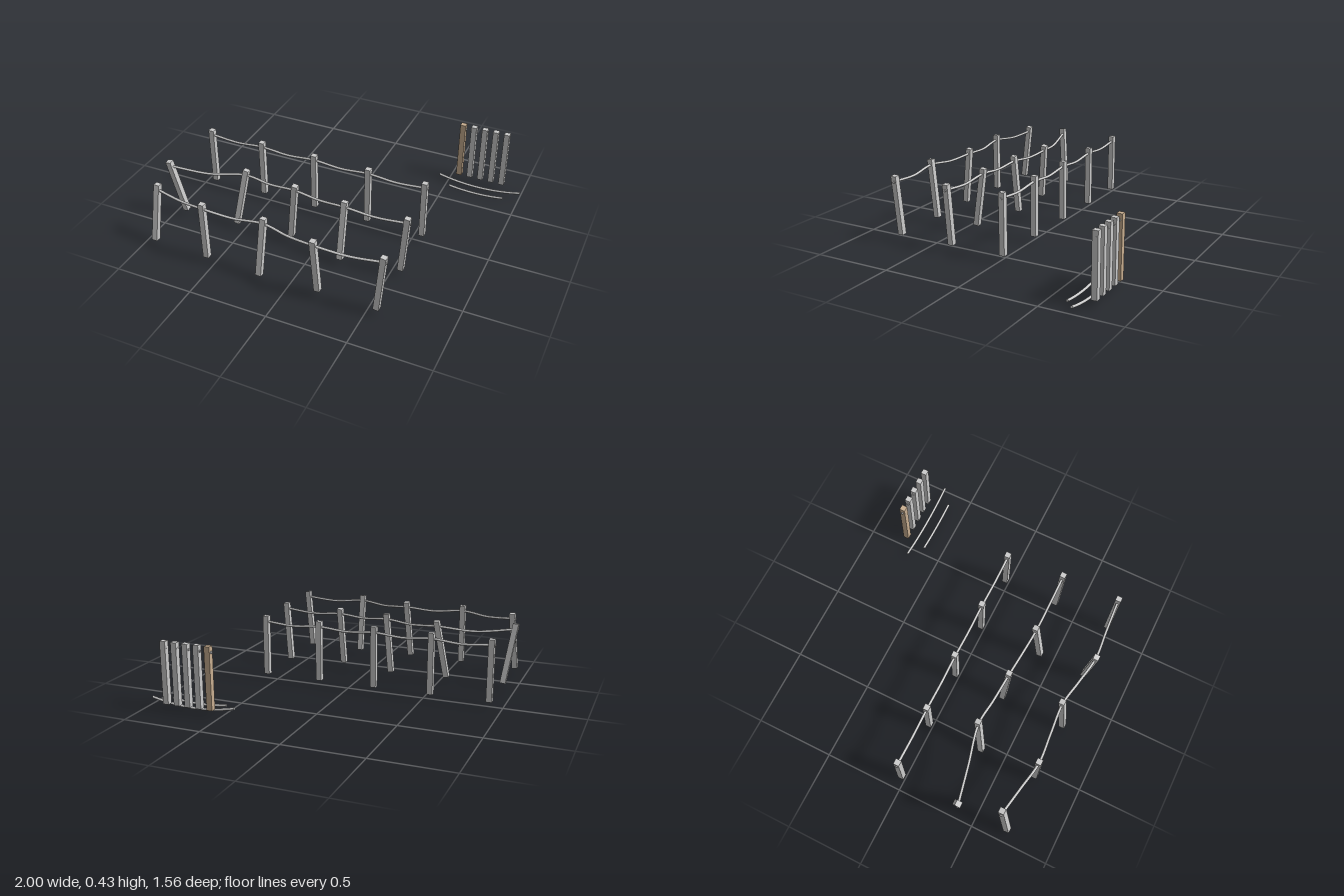
import * as THREE from 'three';

const POST = 0.036, LENGTH = 0.39, BASE = 0.04, ROPE = 0.008;
const grey = new THREE.MeshStandardMaterial({ color: 0xcccccc });
const brown = new THREE.MeshStandardMaterial({ color: 0xc8ae90 });
const UP = new THREE.Vector3(0, 1, 0);

function add(parent, geometry, name, material = grey) {
  const mesh = new THREE.Mesh(geometry, material);
  mesh.name = name;
  parent.add(mesh);
  return mesh;
}

// Square post leaning from its foot [x, z] to its top [x, z]; returns the rope hole point
function addPost(parent, foot, top, material) {
  const dx = top[0] - foot[0], dz = top[1] - foot[1];
  const dir = new THREE.Vector3(dx, Math.sqrt(LENGTH ** 2 - dx * dx - dz * dz), dz).normalize();
  const start = new THREE.Vector3(foot[0], BASE, foot[1]);
  const post = add(parent, new THREE.BoxGeometry(POST, LENGTH, POST), 'post', material);
  post.position.copy(start).addScaledVector(dir, LENGTH / 2);
  post.quaternion.setFromUnitVectors(UP, dir);
  return start.addScaledVector(dir, LENGTH - 0.037);
}

// Round rope with closed ends along a smooth curve
function addRope(parent, points, name) {
  const curve = new THREE.CatmullRomCurve3(points);
  add(parent, new THREE.TubeGeometry(curve, points.length * 8, ROPE, 12), name);
  for (const t of [0, 1]) {
    const cap = add(parent, new THREE.CircleGeometry(ROPE, 12), 'ropeEnd');
    cap.position.copy(curve.getPointAt(t));
    const out = curve.getTangentAt(t).multiplyScalar(t ? 1 : -1);
    cap.quaternion.setFromUnitVectors(new THREE.Vector3(0, 0, 1), out);
  }
}

// Row of posts joined by one rope that sags between them
function makeRow(name, feet, tops) {
  const row = new THREE.Group();
  row.name = name;
  const holes = feet.map((foot, i) => addPost(row, foot, tops[i]));
  const path = [];
  holes.forEach((hole, i) => {
    path.push(hole);
    const next = holes[i + 1];
    if (!next) return;
    const mid = hole.clone().lerp(next, 0.5);
    mid.y -= 0.1 * hole.distanceToSquared(next);
    path.push(mid);
  });
  // Short tails beyond the end posts
  const tail = (end, near) => {
    const d = end.clone().sub(near).setY(0).normalize();
    return end.clone().addScaledVector(d, 0.024);
  };
  const n = holes.length;
  path.unshift(tail(holes[0], holes[1]));
  path.push(tail(holes[n - 1], holes[n - 2]));
  addRope(row, path, 'rope');
  return row;
}

// Loose curved rope lying on the ground
function addLooseRope(parent, x0, x1, z, name) {
  const points = [];
  for (let i = 0; i <= 8; i++) {
    const t = i / 4 - 1;
    points.push(new THREE.Vector3((x0 + x1) / 2 + t * (x1 - x0) / 2, ROPE + 0.106 * (x1 - x0) ** 2 * t * t, z));
  }
  addRope(parent, points, name);
}

export function createModel() {
  const model = new THREE.Group();
  model.name = 'ropeFence';
  const xs = [-0.92, -0.55, -0.18, 0.19, 0.56];

  // Three fence rows: one straight, two weathered
  const straight = xs.map(x => [x, -0.02]);
  model.add(makeRow('straightFence', straight, straight));
  model.add(makeRow('leaningFence',
    [[-0.92, 0.355], [-0.55, 0.345], [-0.18, 0.315], [0.19, 0.405], [0.56, 0.345]],
    [[-0.975, 0.405], [-0.49, 0.29], [-0.14, 0.325], [0.195, 0.345], [0.59, 0.35]]));
  model.add(makeRow('crookedFence',
    [[-0.925, 0.705], [-0.55, 0.715], [-0.182, 0.735], [0.19, 0.715], [0.56, 0.72]],
    [[-0.9, 0.645], [-0.55, 0.715], [-0.16, 0.685], [0.185, 0.755], [0.597, 0.725]]));

  // Spare posts with pegs through their holes
  const spares = new THREE.Group();
  spares.name = 'sparePosts';
  const pegLengths = [0.05, 0.048, 0.044, 0.037, 0.037];
  pegLengths.forEach((length, i) => {
    const x = 0.56 + i * 0.074;
    const hole = addPost(spares, [x, -0.765], [x, -0.765], i === 0 ? brown : grey);
    const peg = add(spares, new THREE.CylinderGeometry(ROPE, ROPE, length, 12), 'peg');
    peg.rotation.z = Math.PI / 2;
    peg.position.copy(hole);
  });
  model.add(spares);

  // Spare ropes
  addLooseRope(model, 0.44, 1, -0.7, 'longSpareRope');
  addLooseRope(model, 0.535, 0.905, -0.625, 'shortSpareRope');
  return model;
}
